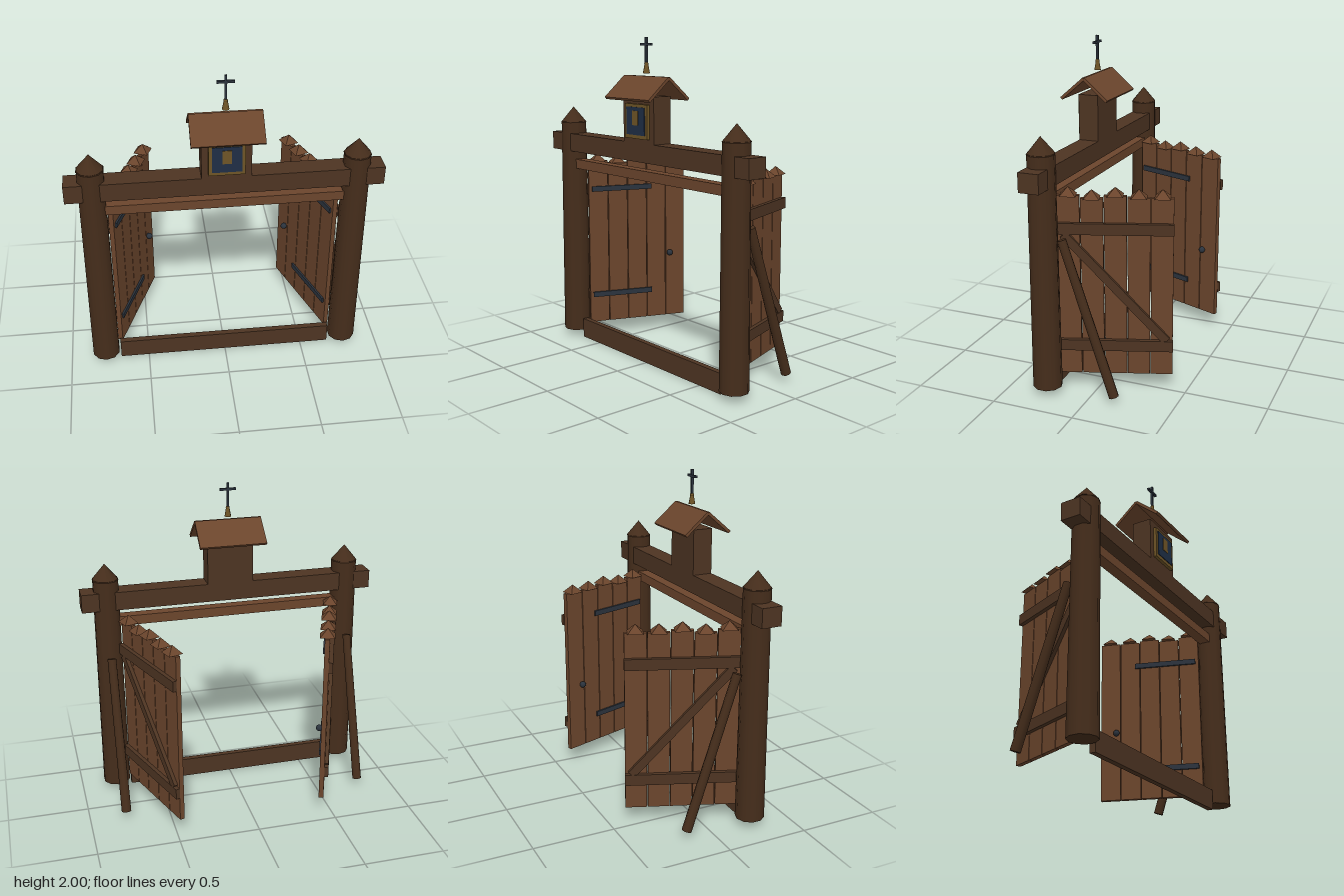
import * as THREE from 'three';

const mat = (name, color, side = THREE.FrontSide) => {
  const m = new THREE.MeshStandardMaterial({ color });
  m.name = name;
  m.side = side;
  return m;
};

export function createModel() {
  const logWood = mat('dark log wood', 0x452d1b);
  const beamWood = mat('beam wood', 0x4d3422);
  const plankWood = mat('plank wood', 0x6b452c);
  const iron = mat('iron', 0x2b333d);
  const gold = mat('old gold', 0x6e5426);
  const blue = mat('icon blue', 0x1f2e45);

  const Z = 0.26; // plane of the gate frame
  const model = new THREE.Group();
  model.name = 'gate';

  const add = (parent, name, geometry, material, x, y, z) => {
    const m = new THREE.Mesh(geometry, material);
    m.name = name;
    m.position.set(x, y, z);
    parent.add(m);
    return m;
  };
  const box = (parent, name, material, w, h, d, x, y, z) =>
    add(parent, name, new THREE.BoxGeometry(w, h, d), material, x, y, z);

  // Cross beams and sill
  box(model, 'topBeam', beamWood, 1.866, 0.115, 0.125, 0, 1.3225, Z);
  box(model, 'lowerLintel', plankWood, 1.42, 0.06, 0.07, 0, 1.18, Z);
  box(model, 'sill', beamWood, 1.36, 0.125, 0.036, 0, 0.0625, Z);

  // Posts with pointed caps, and the raking braces behind them
  const top = new THREE.Vector3(0, 0.965, 0.148);
  const foot = new THREE.Vector3(0, 0.048, -0.162);
  const along = top.clone().sub(foot);
  for (const s of [-1, 1]) {
    add(model, 'post', new THREE.CylinderGeometry(0.08, 0.087, 1.41, 10), logWood, s * 0.775, 0.75, Z);
    add(model, 'postCap', new THREE.ConeGeometry(0.083, 0.1, 10), logWood, s * 0.775, 1.5, Z);
    const brace = add(model, 'brace', new THREE.CylinderGeometry(0.027, 0.03, along.length(), 8), logWood,
      s * 0.775, (top.y + foot.y) / 2, (top.z + foot.z) / 2);
    brace.quaternion.setFromUnitVectors(new THREE.Vector3(0, 1, 0), along.clone().normalize());
  }

  // Door leaf: local x runs from the hinge, s * local z points outward
  const tips = [1.244, 1.228, 1.244, 1.234, 1.234];
  const pitch = 0.1335, width = pitch * 5, thick = 0.03;
  const pyramid = new THREE.ConeGeometry(0.065, 0.05, 4).toNonIndexed();
  pyramid.rotateY(Math.PI / 4);
  pyramid.computeVertexNormals();

  const makeDoor = (name, s, angle) => {
    const door = new THREE.Group();
    door.name = name;
    door.position.set(s * 0.68, 0, 0.222);
    door.rotation.y = Math.PI / 2 + s * angle;

    // Planks with pyramid tips
    tips.forEach((tip, i) => {
      const u = pitch * (i + 0.5), h = tip - 0.05 - 0.095;
      box(door, 'plank', plankWood, pitch - 0.005, h, thick, u, 0.095 + h / 2, 0);
      add(door, 'plankTip', pyramid, plankWood, u, tip - 0.025, 0);
    });

    // Rails and diagonal on the outer face
    const out = s * (thick / 2 + 0.0125);
    for (const y of [1.003, 0.284])
      box(door, 'rail', beamWood, width, 0.067, 0.025, width / 2, y, out);
    const du = 0.59, dy = -0.65;
    const diagonal = box(door, 'diagonal', beamWood, Math.hypot(du, dy), 0.05, 0.023,
      width / 2, 0.643, out);
    diagonal.rotation.z = Math.atan2(dy, du);

    // Hinge straps and knob on the inner face
    for (const y of [1.008, 0.286])
      box(door, 'hingeStrap', iron, 0.41, 0.034, 0.012, 0.228, y, -s * (thick / 2 + 0.006));
    add(door, 'knob', new THREE.SphereGeometry(0.021, 10, 8), iron, 0.56, 0.54, -s * (thick / 2 + 0.015));
    model.add(door);
  };
  makeDoor('rightDoor', -1, 0.375);
  makeDoor('leftDoor', 1, 0.33);

  // Small shrine above the beam
  const shrine = new THREE.Group();
  shrine.name = 'shrine';
  model.add(shrine);
  box(shrine, 'shrineBody', beamWood, 0.29, 0.28, 0.125, 0, 1.52, Z);
  box(shrine, 'iconFrame', gold, 0.212, 0.205, 0.02, 0, 1.51, 0.3325);
  box(shrine, 'iconPanel', blue, 0.172, 0.165, 0.005, 0, 1.512, 0.3445);
  box(shrine, 'iconFigure', gold, 0.054, 0.086, 0.004, 0, 1.53, 0.3485);

  // Gable roof boards
  const slope = 0.71, length = 0.195;
  for (const s of [-1, 1]) {
    const board = box(shrine, 'roofBoard', plankWood, 0.42, 0.018, length, 0,
      1.768 - Math.sin(slope) * length / 2, Z + s * Math.cos(slope) * length / 2);
    board.rotation.x = s * slope;
  }

  // Finial and cross
  add(shrine, 'finialBase', new THREE.CylinderGeometry(0.011, 0.021, 0.055, 8), gold, 0, 1.818, Z);
  add(shrine, 'finialNeck', new THREE.SphereGeometry(0.013, 8, 6), gold, 0, 1.845, Z);
  box(shrine, 'crossUpright', iron, 0.013, 0.16, 0.015, 0, 1.92, Z);
  box(shrine, 'crossArm', iron, 0.1, 0.014, 0.015, 0, 1.96, Z);

  return model;
}
